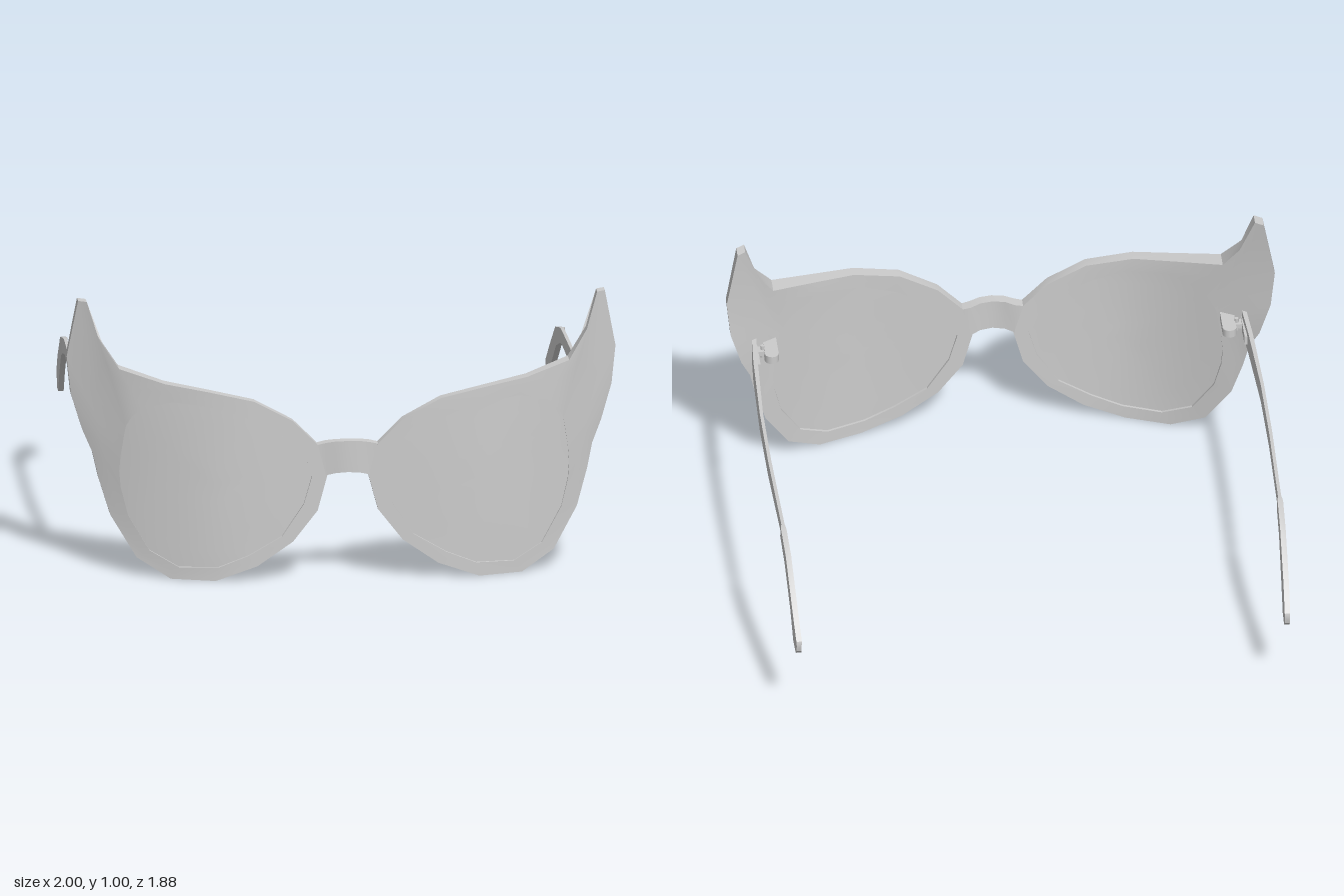
import * as THREE from 'three';
import { toCreasedNormals } from 'three/addons/utils/BufferGeometryUtils.js';

const material = new THREE.MeshStandardMaterial({ color: 0xcccccc });

// Wrap of the front: depth of the front and back faces at distance x from the middle
const wrapX = [0, 0.2, 0.35, 0.5, 0.65, 0.82, 0.9, 0.95, 1.0];
const wrapZ = [
  0.925, 0.885, 0.925, 0.885, 0.923, 0.88, 0.905, 0.86, 0.855, 0.8,
  0.77, 0.7, 0.7, 0.655, 0.66, 0.61, 0.637, 0.6,
];
const wrap = new THREE.CubicInterpolant(wrapX, wrapZ, 2);
const frontZ = (x) => wrap.evaluate(x)[0];
const backZ = (x) => wrap.evaluate(x)[1];

// Matching points of the rim: outer x, y and lens opening x, y
const rimPoints = [
  [0.11, 0.51, 0.155, 0.47], [0.2, 0.6, 0.235, 0.545], [0.34, 0.675, 0.36, 0.61],
  [0.51, 0.71, 0.48, 0.65], [0.66, 0.73, 0.63, 0.665], [0.82, 0.77, 0.74, 0.635],
  [0.89, 0.87, 0.775, 0.6], [0.93, 1.0, 0.795, 0.565], [0.96, 1.0, 0.798, 0.555],
  [1.0, 0.79, 0.802, 0.535], [0.985, 0.65, 0.807, 0.5], [0.945, 0.52, 0.815, 0.45],
  [0.91, 0.44, 0.82, 0.39], [0.89, 0.35, 0.815, 0.33], [0.85, 0.22, 0.79, 0.23],
  [0.76, 0.075, 0.715, 0.105], [0.64, 0.005, 0.61, 0.05], [0.48, 0.005, 0.47, 0.055],
  [0.33, 0.06, 0.36, 0.1], [0.2, 0.15, 0.24, 0.17], [0.11, 0.265, 0.16, 0.29],
  [0.075, 0.395, 0.13, 0.395],
];

// Skin closed loops of points into a solid, facing outwards
function loft(name, rows, { ring = false, caps = false, crease = 0.45 } = {}) {
  if (caps) {
    const middle = (row) => {
      const c = [0, 1, 2].map((k) => row.reduce((sum, p) => sum + p[k], 0) / row.length);
      return row.map(() => c);
    };
    rows = [middle(rows[0]), ...rows, middle(rows[rows.length - 1])];
  }
  const n = rows[0].length;
  const points = rows.flat();
  const index = [];
  const last = ring ? rows.length : rows.length - 1;
  for (let i = 0; i < last; i++) {
    for (let j = 0; j < n; j++) {
      const a = i * n + j, b = i * n + ((j + 1) % n);
      const next = ((i + 1) % rows.length) * n;
      const c = next + j, d = next + ((j + 1) % n);
      index.push(a, b, d, a, d, c);
    }
  }
  // A negative volume means the faces look inwards
  const v = points.map((p) => new THREE.Vector3(...p));
  let volume = 0;
  for (let i = 0; i < index.length; i += 3) {
    volume += v[index[i]].dot(v[index[i + 1]].clone().cross(v[index[i + 2]]));
  }
  if (volume < 0) index.reverse();
  const geometry = new THREE.BufferGeometry().setFromPoints(v);
  geometry.setIndex(index);
  const mesh = new THREE.Mesh(toCreasedNormals(geometry, crease), material);
  mesh.name = name;
  return mesh;
}

// Rim with its upswept wing
function makeRim(s) {
  const rows = rimPoints.map(([ox, oy, ix, iy]) => {
    const across = [0, 0.5, 1].map((t) => [ox + (ix - ox) * t, oy + (iy - oy) * t]);
    const front = across.map(([x, y]) => [s * x, y, frontZ(x)]);
    const back = across.map(([x, y]) => [s * x, y, backZ(x)]);
    return [...front, ...back.reverse()];
  });
  return loft('rim', rows, { ring: true });
}

// Curved lens, set just inside both faces of the rim
function makeLens(s) {
  const cx = 0.48, cy = 0.36, steps = [0, 0.2, 0.4, 0.6, 0.8, 1];
  const layer = (t, depth) => rimPoints.map(([, , ix, iy]) => {
    const x = cx + (ix - cx) * t, y = cy + (iy - cy) * t;
    return [s * x, y, depth(x)];
  });
  const front = steps.map((t) => layer(t, (x) => frontZ(x) - 0.01));
  const back = steps.map((t) => layer(t, (x) => backZ(x) + 0.01));
  return loft('lens', [...front, ...back.reverse()], { crease: 0.8 });
}

// Bridge between the rims
function makeBridge() {
  const half = [[0.11, 0.51, 0.395, 0.925, 0.885], [0.08, 0.517, 0.396, 0.927, 0.883],
    [0.045, 0.524, 0.406, 0.937, 0.897], [0, 0.526, 0.41, 0.942, 0.902]];
  const mirrored = half.slice(0, 3).reverse().map(([x, ...rest]) => [-x, ...rest]);
  const rows = [...half, ...mirrored].map(([x, top, bottom, front, back]) => [
    [x, top, front], [x, top, back],
    // keep the ends from reaching past the rim edge
    [Math.abs(x) > 0.1 ? x * 0.7 : x, bottom, back],
    [Math.abs(x) > 0.1 ? x * 0.7 : x, bottom, front],
  ]);
  return loft('bridge', rows, { caps: true });
}

// Side arm: top z, y, bottom z, y, middle x, half thickness
const armStations = [
  [0.68, 0.59, 0.68, 0.495, 0.893, 0.008], [0.52, 0.587, 0.52, 0.499, 0.903, 0.008],
  [0.2, 0.581, 0.2, 0.508, 0.914, 0.006], [-0.1, 0.578, -0.1, 0.515, 0.914, 0.006],
  [-0.5, 0.575, -0.47, 0.525, 0.906, 0.006], [-0.53, 0.574, -0.5, 0.523, 0.906, 0.01],
  [-0.66, 0.545, -0.62, 0.485, 0.902, 0.01], [-0.84, 0.43, -0.76, 0.385, 0.896, 0.01],
  [-0.9, 0.385, -0.845, 0.297, 0.893, 0.01], [-0.938, 0.357, -0.915, 0.293, 0.891, 0.01],
  [-0.942, 0.342, -0.937, 0.315, 0.891, 0.009],
];
function makeArm(s) {
  const rows = armStations.map(([tz, ty, bz, by, x, h]) => [
    [s * (x - h), ty, tz], [s * (x + h), ty, tz], [s * (x + h), by, bz], [s * (x - h), by, bz],
  ]);
  return loft('sideArm', rows, { caps: true });
}

// Hinge: rounded leaf on the rim, link to the arm and a pin
function makeHinge(s) {
  const hinge = new THREE.Group();
  hinge.name = 'hinge';
  const add = (name, geometry, x, y, z) => {
    const mesh = new THREE.Mesh(geometry, material);
    mesh.name = name;
    mesh.position.set(s * x, y, z);
    hinge.add(mesh);
  };
  add('hingeLeaf', new THREE.BoxGeometry(0.05, 0.03, 0.1), 0.835, 0.545, 0.655);
  add('hingeKnuckle', new THREE.CylinderGeometry(0.026, 0.026, 0.03, 12), 0.835, 0.545, 0.606);
  add('hingeLink', new THREE.BoxGeometry(0.055, 0.018, 0.035), 0.87, 0.545, 0.645);
  add('hingePin', new THREE.CylinderGeometry(0.008, 0.008, 0.05, 8), 0.865, 0.545, 0.645);
  add('armPlate', new THREE.BoxGeometry(0.01, 0.035, 0.13), 0.888, 0.545, 0.6);
  return hinge;
}

export function createModel() {
  const model = new THREE.Group();
  model.name = 'glasses';
  model.add(makeBridge());
  for (const [side, s] of [['left', 1], ['right', -1]]) {
    const half = new THREE.Group();
    half.name = side + 'Side';
    half.add(makeRim(s), makeLens(s), makeArm(s), makeHinge(s));
    model.add(half);
  }
  return model;
}
